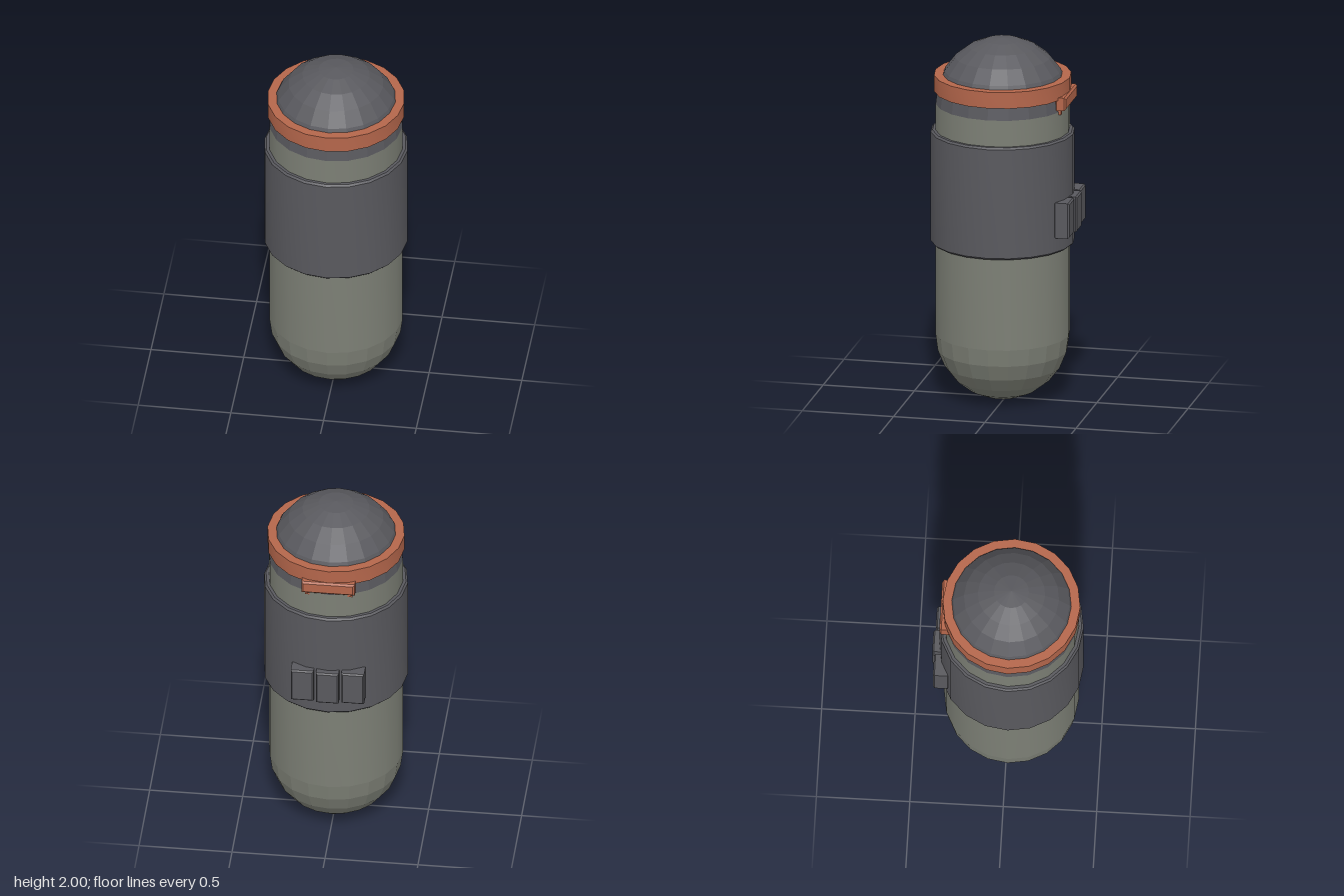
import * as THREE from 'three';
import { toCreasedNormals } from 'three/addons/utils/BufferGeometryUtils.js';

const SIDES = 20, R = 0.36;

export function createModel() {
  const model = new THREE.Group();
  model.name = 'capsuleCanister';
  const axis = new THREE.Group();
  axis.name = 'canister';
  axis.position.z = 0.016;
  model.add(axis);

  const mat = (name, color) => {
    const m = new THREE.MeshStandardMaterial({ color });
    m.name = name;
    return m;
  };
  const shell = mat('greyGreen', 0x7c7f75);
  const dark = mat('darkGrey', 0x59595e);
  const rust = mat('rustOrange', 0xb4664b);

  const add = (parent, name, geometry, material, x = 0, y = 0, z = 0) => {
    const mesh = new THREE.Mesh(geometry, material);
    mesh.name = name;
    mesh.position.set(x, y, z);
    parent.add(mesh);
    return mesh;
  };
  const lathe = (points) =>
    new THREE.LatheGeometry(points.map(([r, y]) => new THREE.Vector2(r, y)), SIDES);
  const creased = (points) => toCreasedNormals(lathe(points), 0.4);
  const flat = (geometry) => {
    const g = geometry.toNonIndexed();
    g.computeVertexNormals();
    return g;
  };
  // Hemisphere profile in 15 degree bands, always running upwards
  const arc = (from, to, centreY) => Array.from({ length: 7 }, (_, i) => {
    const a = THREE.MathUtils.degToRad(from + (to - from) * i / 6);
    return [Math.max(0, R * Math.cos(a)), centreY + R * Math.sin(a)];
  });
  // Box with bevelled edges, centred on the origin
  const bevelBox = (w, h, d, b) => {
    const x = w / 2 - b, y = h / 2 - b;
    const s = new THREE.Shape([[-x, -y], [x, -y], [x, y], [-x, y]]
      .map(([u, v]) => new THREE.Vector2(u, v)));
    const g = new THREE.ExtrudeGeometry(s, {
      depth: d - 2 * b, bevelEnabled: true, bevelThickness: b, bevelSize: b, bevelSegments: 1,
    });
    return g.translate(0, 0, b - d / 2);
  };

  // Capsule body
  add(axis, 'bottomDome', flat(lathe(arc(-90, 0, R))), shell);
  add(axis, 'bodyTube', creased([[R, R], [R, 1.64]]), shell);
  add(axis, 'topDome', flat(lathe(arc(0, 90, 1.64))), dark);

  // Wide sleeve with bevelled rims
  add(axis, 'sleeve', creased([
    [0.34, 0.87], [0.376, 0.87], [0.386, 0.88], [0.386, 1.485], [0.376, 1.495], [0.34, 1.495],
  ]), dark);

  // Collar around the dome
  add(axis, 'collar', creased([
    [0.3, 1.71], [0.368, 1.71], [0.368, 1.8], [0.3, 1.8],
  ]), rust);

  // Latch bar on the back with a small foot at each end
  add(model, 'latchBar', bevelBox(0.286, 0.072, 0.06, 0.01), rust, 0, 1.69, -0.332);
  for (const side of [-1, 1]) {
    add(model, 'latchFoot', new THREE.BoxGeometry(0.025, 0.04, 0.03), rust, side * 0.115, 1.647, -0.318);
  }

  // Three pouches on the back of the sleeve
  for (const i of [-1, 0, 1]) {
    add(model, 'pouch', bevelBox(0.122, 0.196, 0.085, 0.008), dark,
      i * 0.136, 1.058, i === 0 ? -0.362 : -0.351);
  }
  return model;
}
